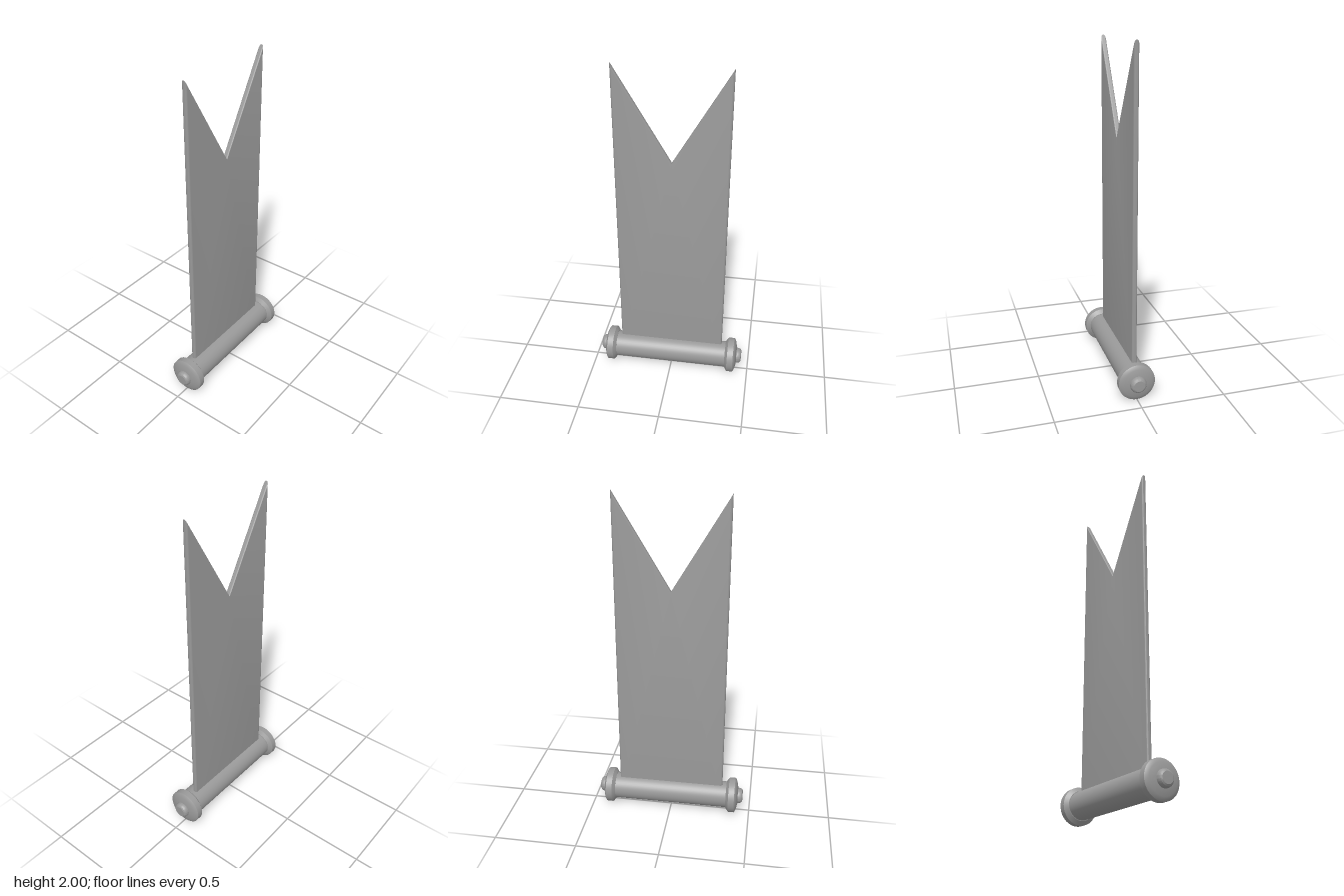
import * as THREE from 'three';
import { toCreasedNormals } from 'three/addons/utils/BufferGeometryUtils.js';

const grey = new THREE.MeshStandardMaterial({ color: 0x999999 });
grey.name = 'grey';

const AXIS_Y = 0.108; // height of the rod's axis

// Turned part along z; profile is [radius, distance] pairs, dir picks the end
function turned(name, profile, dir = 1) {
  const pts = profile.map(([r, d]) => new THREE.Vector2(r, d));
  const geo = toCreasedNormals(new THREE.LatheGeometry(pts, 48), 0.4);
  const mesh = new THREE.Mesh(geo, grey);
  mesh.name = name;
  mesh.rotation.x = dir * Math.PI / 2;
  mesh.position.y = AXIS_Y;
  return mesh;
}

// Swallow-tailed outline as [z, y], inset by d on the sides and notch
function outline(d) {
  const slope = 0.55 / 0.327;
  const w = 0.327 - d;
  const notch = 1.45 - d * (Math.sqrt(1 + slope * slope) - 1);
  const tip = notch + slope * w;
  return [[-w, 0.12], [w, 0.12], [w, tip], [0, notch], [-w, tip]];
}

// Thin banner with rounded edges, stacked from outlines across its thickness
function bannerGeometry() {
  const half = 0.0145, r = 0.011, steps = 4, layers = [];
  for (const side of [-1, 1]) {
    for (let k = 0; k <= steps; k++) {
      const a = (side < 0 ? steps - k : k) / steps * Math.PI / 2;
      const x = side * (half - r + r * Math.sin(a));
      layers.push(outline(r * (1 - Math.cos(a))).map(([z, y]) => [x, y, z]));
    }
  }
  const pos = [];
  const tri = (a, b, c) => pos.push(...a, ...b, ...c);
  // Rounded rim
  for (let k = 0; k < layers.length - 1; k++) {
    const p = layers[k], q = layers[k + 1];
    for (let i = 0; i < 5; i++) {
      const j = (i + 1) % 5;
      tri(p[i], q[j], p[j]);
      tri(p[i], q[i], q[j]);
    }
  }
  // Flat faces
  const first = layers[0], last = layers[layers.length - 1];
  for (const [a, b, c] of [[3, 4, 0], [3, 0, 1], [3, 1, 2]]) {
    tri(first[a], first[b], first[c]);
    tri(last[a], last[c], last[b]);
  }
  const geo = new THREE.BufferGeometry();
  geo.setAttribute('position', new THREE.Float32BufferAttribute(pos, 3));
  return toCreasedNormals(geo, 0.5);
}

export function createModel() {
  const model = new THREE.Group();
  model.name = 'bannerOnRod';

  model.add(turned('rod', [[0.081, -0.36], [0.081, 0.36]]));

  // Collar and knob at each end
  const collar = [[0.078, 0.353], [0.084, 0.353], [0.108, 0.37], [0.108, 0.407],
    [0.1, 0.413], [0.085, 0.419], [0.048, 0.427], [0, 0.428]];
  const knob = [[0.048, 0.42], [0.048, 0.433], [0.046, 0.443], [0.041, 0.451],
    [0.033, 0.456], [0, 0.457]];
  for (const [end, dir] of [['front', 1], ['back', -1]]) {
    model.add(turned(end + 'Collar', collar, dir), turned(end + 'Knob', knob, dir));
  }

  const banner = new THREE.Mesh(bannerGeometry(), grey);
  banner.name = 'banner';
  banner.position.x = -0.0095;
  model.add(banner);

  return model;
}
